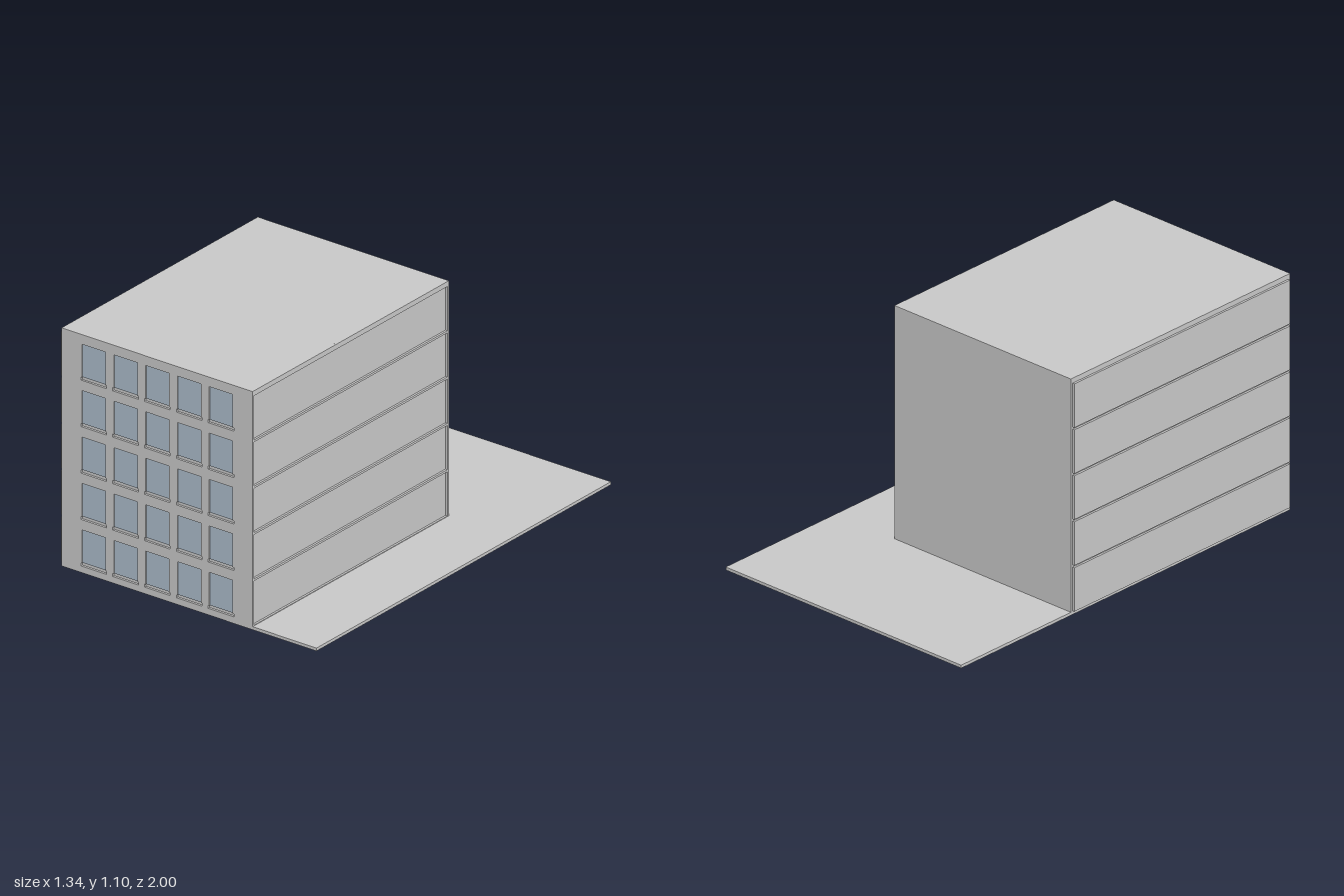
import * as THREE from 'three';

const concrete = new THREE.MeshStandardMaterial({ color: 0xc8c8c8 });
concrete.name = 'concrete grey';
const glass = new THREE.MeshStandardMaterial({ color: 0xabbac9 });
glass.name = 'window blue';

// Main dimensions: block limits, slab height, recess depth, storey pitch
const X0 = -0.662, X1 = 0.336, Z0 = -0.333, Z1 = 1;
const SLAB = 0.014, TOP = 1.095, INSET = 0.01, STOREY = 0.213, FLOORS = 5;

// Box given by its limits on each axis
function box(name, material, [x0, x1], [y0, y1], [z0, z1]) {
  const geometry = new THREE.BoxGeometry(x1 - x0, y1 - y0, z1 - z0);
  geometry.translate((x0 + x1) / 2, (y0 + y1) / 2, (z0 + z1) / 2);
  const mesh = new THREE.Mesh(geometry, material);
  mesh.name = name;
  return mesh;
}

const outline = (points) => points.map(([x, y]) => new THREE.Vector2(x, y));
const rect = (x0, x1, y0, y1) => outline([[x0, y0], [x1, y0], [x1, y1], [x0, y1]]);

// Thin wall with openings
function piercedWall(name, points, holes) {
  const shape = new THREE.Shape(points);
  holes.forEach((hole) => shape.holes.push(new THREE.Path(hole)));
  const geometry = new THREE.ExtrudeGeometry(shape, { depth: INSET, bevelEnabled: false });
  const mesh = new THREE.Mesh(geometry, concrete);
  mesh.name = name;
  return mesh;
}

export function createModel() {
  const model = new THREE.Group();
  model.name = 'apartmentBlock';

  // Ground slab and solid core
  model.add(box('groundSlab', concrete, [X0, 0.67], [0, SLAB], [-1, 1]));
  model.add(box('buildingCore', concrete, [X0, X1 - INSET], [SLAB, TOP], [Z0, Z1 - INSET]));

  // Front wall: window openings, each with a wider sill slot below
  const windows = new THREE.Group();
  windows.name = 'windows';
  const openings = [];
  for (let row = 0; row < FLOORS; row++) {
    for (let col = 0; col < 5; col++) {
      const cx = -0.494 + col * 0.1662;
      const y = 0.03 + row * 0.2135;
      const sill = y + 0.014, head = y + 0.167, w = 0.0615, s = 0.067;
      openings.push(outline([
        [cx - s, y], [cx + s, y], [cx + s, sill], [cx + w, sill],
        [cx + w, head], [cx - w, head], [cx - w, sill], [cx - s, sill],
      ]));
      windows.add(box('windowPane', glass, [cx - w, cx + w], [sill, head], [Z1 - INSET, Z1 - 0.005]));
    }
  }
  const front = piercedWall('frontWall', rect(X0, X1 - INSET, SLAB, TOP), openings);
  front.position.z = Z1 - INSET;
  model.add(front, windows);

  // Side bands: sunk into the left wall, raised on the right wall
  const sunkBands = [];
  for (let floor = 0; floor < FLOORS; floor++) {
    const y0 = 0.017 + floor * STOREY, y1 = y0 + 0.203;
    sunkBands.push(rect(-Z1 + 0.01, -Z0 - 0.01, y0, y1));
    model.add(box('raisedBand', concrete, [X0 - INSET, X0], [y0, y1], [Z0 + 0.01, Z1 - 0.01]));
  }
  const side = piercedWall('leftWall', rect(-Z1, -Z0, SLAB, TOP), sunkBands);
  side.rotation.y = Math.PI / 2;
  side.position.x = X1 - INSET;
  model.add(side);

  return model;
}
